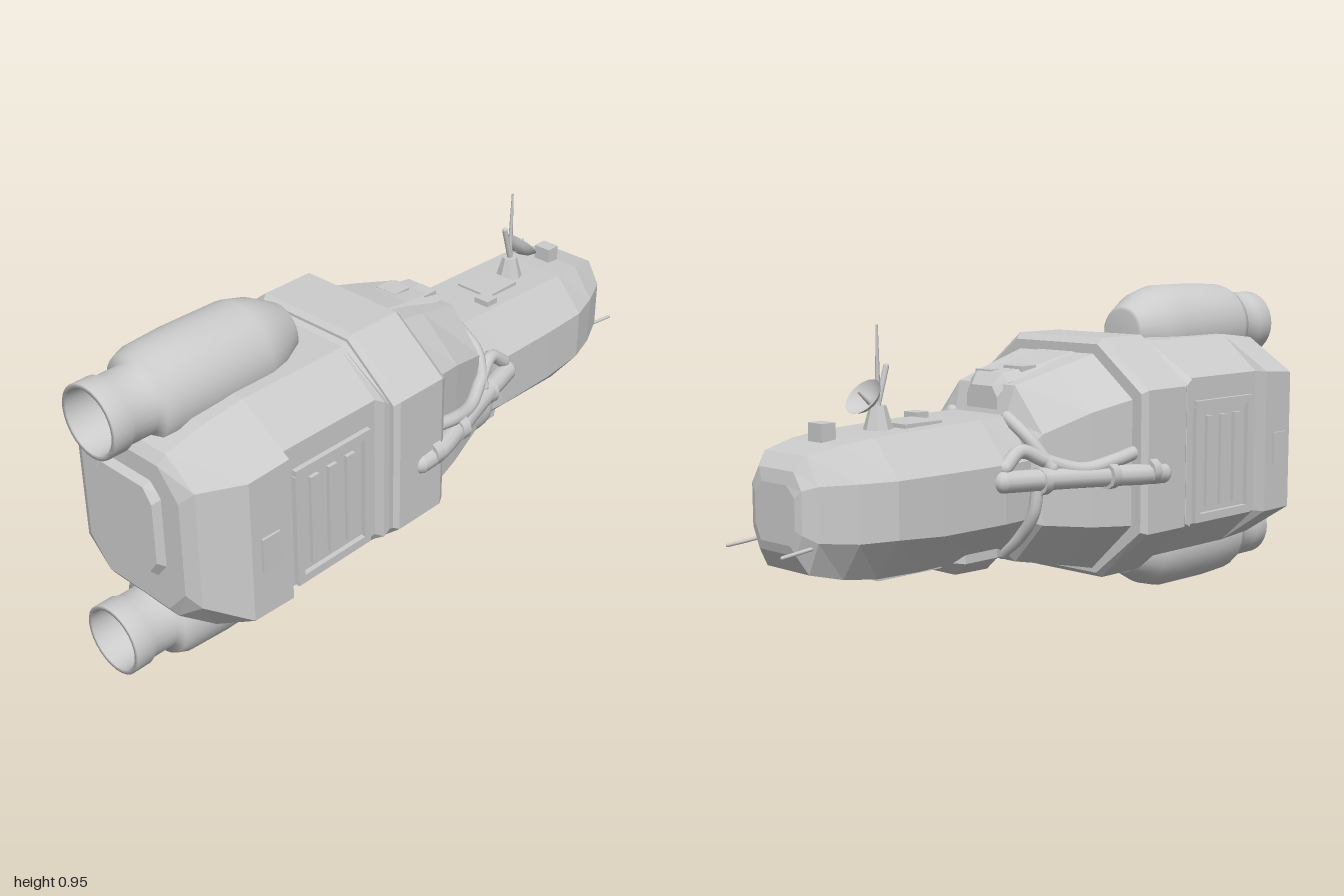
import * as THREE from 'three';

const MID = 0.473; // height of the ship's long axis
const mat = new THREE.MeshStandardMaterial({ color: 0xcccccc });
const flat = new THREE.MeshStandardMaterial({ color: 0xcccccc, flatShading: true });
const thin = new THREE.MeshStandardMaterial({ color: 0xcccccc, side: THREE.DoubleSide });

// Octagonal hull along x. Section: [x, bottom, top, halfWidth, topFlat, bottomFlat, sideLow, sideHigh]
function loft(sections) {
  const rings = sections.map(([x, y0, y1, w, tf, bf, s0, s1]) =>
    [[y1, tf], [s1, w], [s0, w], [y0, bf], [y0, -bf], [s0, -w], [s1, -w], [y1, -tf]].map(([y, z]) => [x, y, z]));
  const pos = [];
  for (let r = 0; r < rings.length - 1; r++) {
    for (let i = 0; i < 8; i++) {
      const j = (i + 1) % 8;
      const [a, b, c, d] = [rings[r][i], rings[r][j], rings[r + 1][j], rings[r + 1][i]];
      pos.push(...a, ...b, ...c, ...a, ...c, ...d);
    }
  }
  const first = rings[0], last = rings[rings.length - 1];
  for (let i = 1; i < 7; i++) {
    pos.push(...first[0], ...first[i + 1], ...first[i]);
    pos.push(...last[0], ...last[i], ...last[i + 1]);
  }
  const geo = new THREE.BufferGeometry();
  geo.setAttribute('position', new THREE.Float32BufferAttribute(pos, 3));
  geo.computeVertexNormals();
  return geo;
}

export function createModel() {
  const ship = new THREE.Group();
  ship.name = 'spaceship';

  const add = (name, geo, material, x = 0, y = 0, z = 0) => {
    const mesh = new THREE.Mesh(geo, material);
    mesh.name = name;
    mesh.position.set(x, y, z);
    ship.add(mesh);
    return mesh;
  };
  const box = (name, w, h, d, x, y, z) => add(name, new THREE.BoxGeometry(w, h, d), flat, x, y, z);
  const tube = (name, points, radius) => {
    const curve = new THREE.CatmullRomCurve3(points.map((p) => new THREE.Vector3(...p)));
    const mesh = add(name, new THREE.TubeGeometry(curve, 32, radius, 10), mat);
    for (const t of [0, 1]) {
      const cap = new THREE.Mesh(new THREE.SphereGeometry(radius, 10, 8), mat);
      cap.position.copy(curve.getPoint(t));
      mesh.add(cap);
    }
  };

  // Rear hull, with a shallow waist for the side panels
  add('rearHull', loft([
    [-0.90, 0.25, 0.69, 0.19, 0.12, 0.12, 0.33, 0.61],
    [-0.88, 0.22, 0.72, 0.23, 0.13, 0.13, 0.30, 0.65],
    [-0.79, 0.16, 0.78, 0.325, 0.17, 0.17, 0.26, 0.68],
    [-0.66, 0.15, 0.795, 0.33, 0.17, 0.17, 0.26, 0.69],
    [-0.65, 0.15, 0.795, 0.295, 0.17, 0.17, 0.26, 0.69],
    [-0.32, 0.15, 0.795, 0.295, 0.17, 0.17, 0.26, 0.69],
    [-0.31, 0.15, 0.795, 0.32, 0.17, 0.17, 0.26, 0.69],
    [-0.29, 0.145, 0.80, 0.32, 0.165, 0.165, 0.27, 0.675],
    [-0.27, 0.16, 0.78, 0.30, 0.16, 0.16, 0.28, 0.66],
  ]), flat);
  add('rearHatch', loft([
    [-0.92, 0.36, 0.62, 0.11, 0.08, 0.08, 0.40, 0.58],
    [-0.89, 0.33, 0.64, 0.13, 0.09, 0.09, 0.38, 0.60],
  ]), flat);

  // Octagonal collar
  add('collar', loft([
    [-0.28, 0.135, 0.80, 0.325, 0.16, 0.16, 0.275, 0.665],
    [-0.265, 0.12, 0.813, 0.336, 0.165, 0.165, 0.268, 0.675],
    [-0.10, 0.12, 0.813, 0.336, 0.165, 0.165, 0.268, 0.675],
    [-0.08, 0.135, 0.795, 0.325, 0.16, 0.16, 0.275, 0.665],
  ]), flat);

  // Tapered mid section and its dorsal hump
  add('midSection', loft([
    [-0.09, 0.145, 0.77, 0.295, 0.145, 0.145, 0.29, 0.65],
    [0.05, 0.175, 0.735, 0.26, 0.13, 0.13, 0.30, 0.62],
    [0.20, 0.205, 0.695, 0.215, 0.11, 0.11, 0.32, 0.57],
    [0.225, 0.23, 0.61, 0.195, 0.10, 0.10, 0.33, 0.54],
  ]), flat);
  add('dorsalHump', loft([
    [-0.08, 0.66, 0.77, 0.10, 0.07, 0.10, 0.67, 0.74],
    [0.06, 0.66, 0.74, 0.085, 0.06, 0.08, 0.67, 0.72],
    [0.19, 0.58, 0.725, 0.075, 0.05, 0.07, 0.60, 0.70],
    [0.22, 0.58, 0.69, 0.06, 0.04, 0.06, 0.60, 0.66],
  ]), flat);
  box('humpVent', 0.06, 0.03, 0.07, 0.10, 0.725, -0.03);
  box('humpVent', 0.05, 0.03, 0.06, 0.16, 0.715, 0.03);

  // Forward hull and blunt nose
  add('forwardHull', loft([
    [0.20, 0.235, 0.615, 0.19, 0.11, 0.10, 0.34, 0.50],
    [0.33, 0.235, 0.612, 0.205, 0.11, 0.10, 0.34, 0.50],
    [0.55, 0.23, 0.605, 0.205, 0.11, 0.10, 0.34, 0.50],
    [0.70, 0.237, 0.60, 0.20, 0.11, 0.11, 0.35, 0.50],
    [0.80, 0.25, 0.59, 0.168, 0.10, 0.10, 0.35, 0.50],
    [0.895, 0.275, 0.57, 0.125, 0.085, 0.085, 0.36, 0.50],
    [0.925, 0.325, 0.535, 0.10, 0.07, 0.075, 0.38, 0.49],
    [0.932, 0.35, 0.50, 0.08, 0.05, 0.06, 0.39, 0.47],
  ]), flat);
  add('bellyPod', loft([
    [0.255, 0.205, 0.28, 0.11, 0.11, 0.07, 0.23, 0.27],
    [0.28, 0.193, 0.28, 0.12, 0.11, 0.08, 0.23, 0.27],
    [0.40, 0.195, 0.28, 0.12, 0.11, 0.08, 0.23, 0.27],
    [0.43, 0.225, 0.28, 0.10, 0.09, 0.07, 0.235, 0.27],
  ]), flat);
  box('bellyPlate', 0.22, 0.02, 0.16, 0.56, 0.232, 0);
  box('roofVent', 0.045, 0.03, 0.05, 0.40, 0.612, 0.07);
  box('roofPlate', 0.13, 0.02, 0.12, 0.49, 0.606, 0);
  box('roofSensor', 0.045, 0.05, 0.055, 0.78, 0.612, 0);

  // Engine pods above and below, each with a hollow nozzle
  const podProfile = [
    [0, -0.80], [0.075, -0.82], [0.088, -1.0], [0.101, -1.0], [0.101, -0.945], [0.094, -0.93],
    [0.094, -0.86], [0.118, -0.852], [0.130, -0.82], [0.136, -0.70], [0.135, -0.52],
    [0.118, -0.455], [0.075, -0.375], [0.065, -0.368], [0, -0.368],
  ].map(([r, h]) => new THREE.Vector2(r, h));
  for (const side of [1, -1]) {
    const pod = add('enginePod', new THREE.LatheGeometry(podProfile, 28), mat, 0, MID + side * 0.337, 0);
    pod.rotation.z = -Math.PI / 2;
    box('enginePylon', 0.40, 0.08, 0.18, -0.61, MID + side * 0.29, 0);
  }

  for (const s of [1, -1]) {
    // Framed side panels with vertical slats
    for (const y of [0.275, 0.61]) box('panelRail', 0.27, 0.025, 0.025, -0.485, y, s * 0.297);
    for (const x of [-0.61, -0.36]) box('panelPost', 0.025, 0.33, 0.025, x, 0.44, s * 0.297);
    for (let i = 0; i < 3; i++) box('panelSlat', 0.03, 0.27, 0.018, -0.55 + i * 0.065, 0.44, s * 0.297);
    box('sideVent', 0.06, 0.10, 0.02, -0.73, 0.45, s * 0.324);

    // Pipes linking collar, mid section and forward hull
    tube('mainPipe', [[-0.17, 0.435, s * 0.325], [-0.10, 0.44, s * 0.325], [0.0, 0.445, s * 0.30],
      [0.15, 0.45, s * 0.255], [0.34, 0.455, s * 0.205]], 0.03);
    tube('upperPipe', [[-0.09, 0.50, s * 0.295], [0.0, 0.485, s * 0.295], [0.10, 0.47, s * 0.27],
      [0.20, 0.50, s * 0.225], [0.27, 0.53, s * 0.20], [0.33, 0.49, s * 0.20]], 0.02);
    tube('hoopPipe', [[0.23, 0.45, s * 0.225], [0.235, 0.36, s * 0.215], [0.235, 0.29, s * 0.165],
      [0.24, 0.235, s * 0.10]], 0.018);
    tube('roofPipe', [[0.19, 0.48, s * 0.24], [0.225, 0.56, s * 0.185], [0.23, 0.61, s * 0.11]], 0.018);
    for (const [x, z] of [[-0.12, 0.322], [0.02, 0.295], [0.22, 0.23]]) {
      const clamp = add('pipeClamp', new THREE.CylinderGeometry(0.038, 0.038, 0.03, 10), mat, x, 0.447, s * z);
      clamp.rotation.z = Math.PI / 2;
    }

    // Nose whiskers
    tube('noseProbe', [[0.86, 0.35, s * 0.105], [0.93, 0.343, s * 0.108], [0.995, 0.338, s * 0.112]], 0.005);
  }

  // Dish antenna and mast
  add('dishBase', new THREE.CylinderGeometry(0.022, 0.042, 0.07, 8), flat, 0.595, 0.63, 0);
  add('mast', new THREE.CylinderGeometry(0.003, 0.009, 0.26, 8), mat, 0.595, 0.745, 0);
  const dishProfile = [[0, 0], [0.022, 0.004], [0.042, 0.014], [0.056, 0.03]].map(([r, h]) => new THREE.Vector2(r, h));
  const dish = add('dish', new THREE.LatheGeometry(dishProfile, 20), thin, 0.622, 0.672, 0);
  dish.rotation.z = -0.85;
  const feed = new THREE.Mesh(new THREE.CylinderGeometry(0.003, 0.006, 0.05, 6), mat);
  feed.name = 'dishFeed';
  feed.position.y = 0.025;
  dish.add(feed);
  tube('dishArm', [[0.60, 0.65, 0], [0.585, 0.70, 0], [0.565, 0.765, 0]], 0.008);

  return ship;
}
